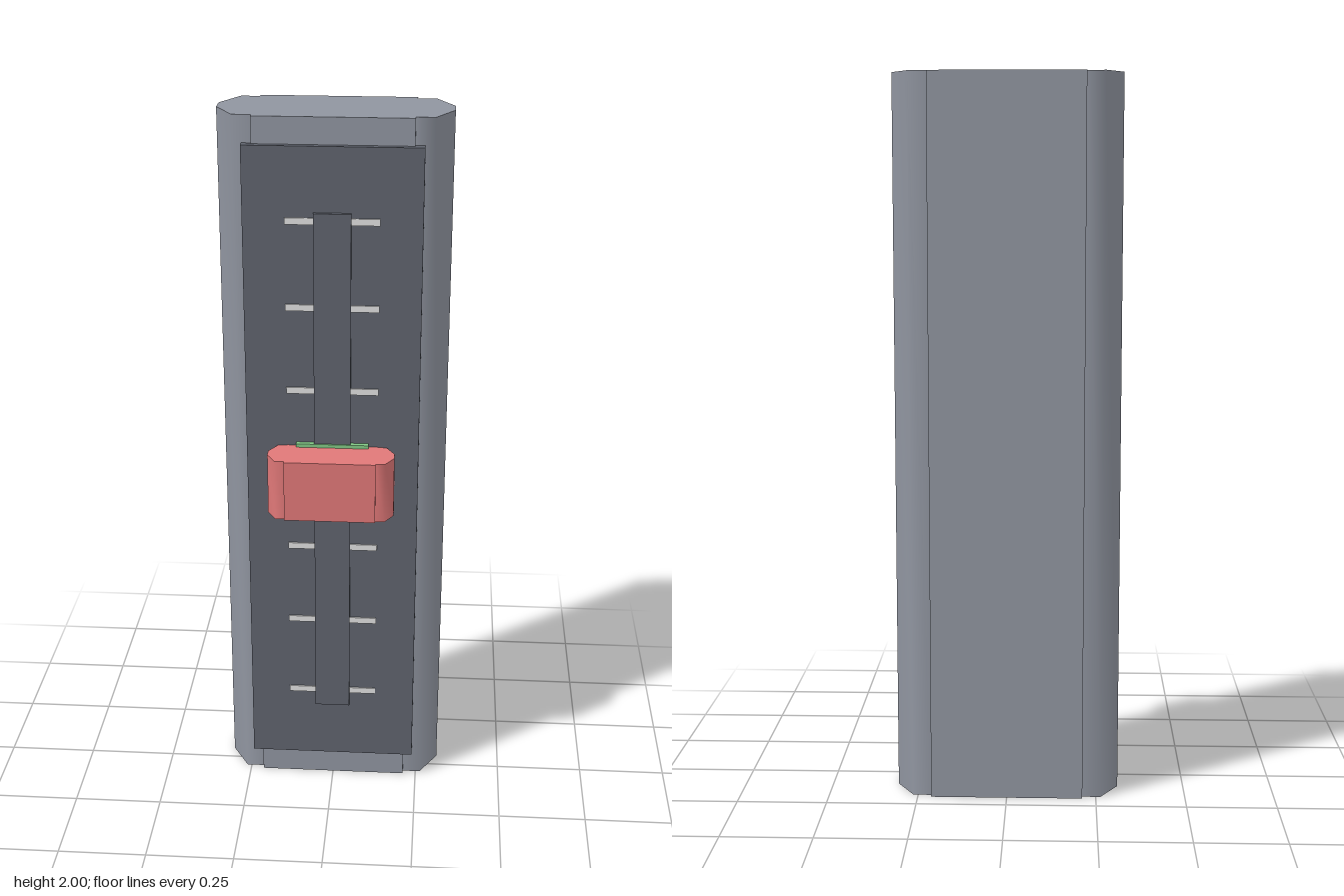
import * as THREE from 'three';
import { toCreasedNormals } from 'three/addons/utils/BufferGeometryUtils.js';

const material = (name, color) => {
  const m = new THREE.MeshStandardMaterial({ color });
  m.name = name;
  return m;
};

export function createModel() {
  const grey = material('casing grey', 0x9095a0);
  const dark = material('panel dark grey', 0x5f636d);
  const red = material('knob red', 0xe07878);
  const green = material('indicator green', 0x81c784);
  const white = material('tick light grey', 0xe0e0e0);

  const model = new THREE.Group();
  model.name = 'slider';

  // Box given by its half width and its y and z ranges
  function box(parent, name, mat, halfX, y0, y1, z0, z1) {
    const mesh = new THREE.Mesh(new THREE.BoxGeometry(halfX * 2, y1 - y0, z1 - z0), mat);
    mesh.position.set(0, (y0 + y1) / 2, (z0 + z1) / 2);
    mesh.name = name;
    parent.add(mesh);
  }

  // Upright block with softly shaded, chamfered flanks and a raised centre box
  function flankedBlock(name, mat, y0, y1, zc, coreX, coreZ, midX, midZ, endX, endZ) {
    const group = new THREE.Group();
    group.name = name;
    const corners = [[coreX, midZ], [midX, midZ], [endX, endZ]];
    const right = [...corners, ...corners.map(([x, z]) => [x, -z]).reverse()];
    const left = right.map(([x, z]) => [-x, -z]);
    const outline = [...right, ...left].reverse().map(([x, z]) => new THREE.Vector2(x, z));
    const geo = new THREE.ExtrudeGeometry(new THREE.Shape(outline), { depth: y1 - y0, bevelEnabled: false });
    geo.rotateX(-Math.PI / 2);
    const flanks = new THREE.Mesh(toCreasedNormals(geo, 1.2), mat);
    flanks.position.set(0, y0, zc);
    flanks.name = name + 'Flanks';
    group.add(flanks);
    box(group, name + 'Core', mat, coreX, y0, y1, zc - coreZ, zc + coreZ);
    model.add(group);
  }

  // Casing and face panel
  flankedBlock('casing', grey, 0, 2, -0.07, 0.212, 0.1255, 0.263, 0.111, 0.313, 0.025);
  box(model, 'facePanel', dark, 0.238, 0.08, 1.928, 0.047, 0.072);

  // Scale ticks, crossing behind the track
  for (let i = 0; i < 7; i++) {
    const y = 0.302 + i * 0.238;
    box(model, 'scaleTick', white, 0.126, y - 0.009, y + 0.009, 0.07, 0.076);
  }

  // Track, indicator and sliding knob
  box(model, 'track', dark, 0.05, 0.254, 1.753, 0.07, 0.083);
  box(model, 'indicator', green, 0.1, 0.905, 1.1, 0.07, 0.087);
  flankedBlock('knob', red, 0.916, 1.09, 0.13, 0.125, 0.0625, 0.15, 0.0555, 0.174, 0.0135);

  return model;
}
